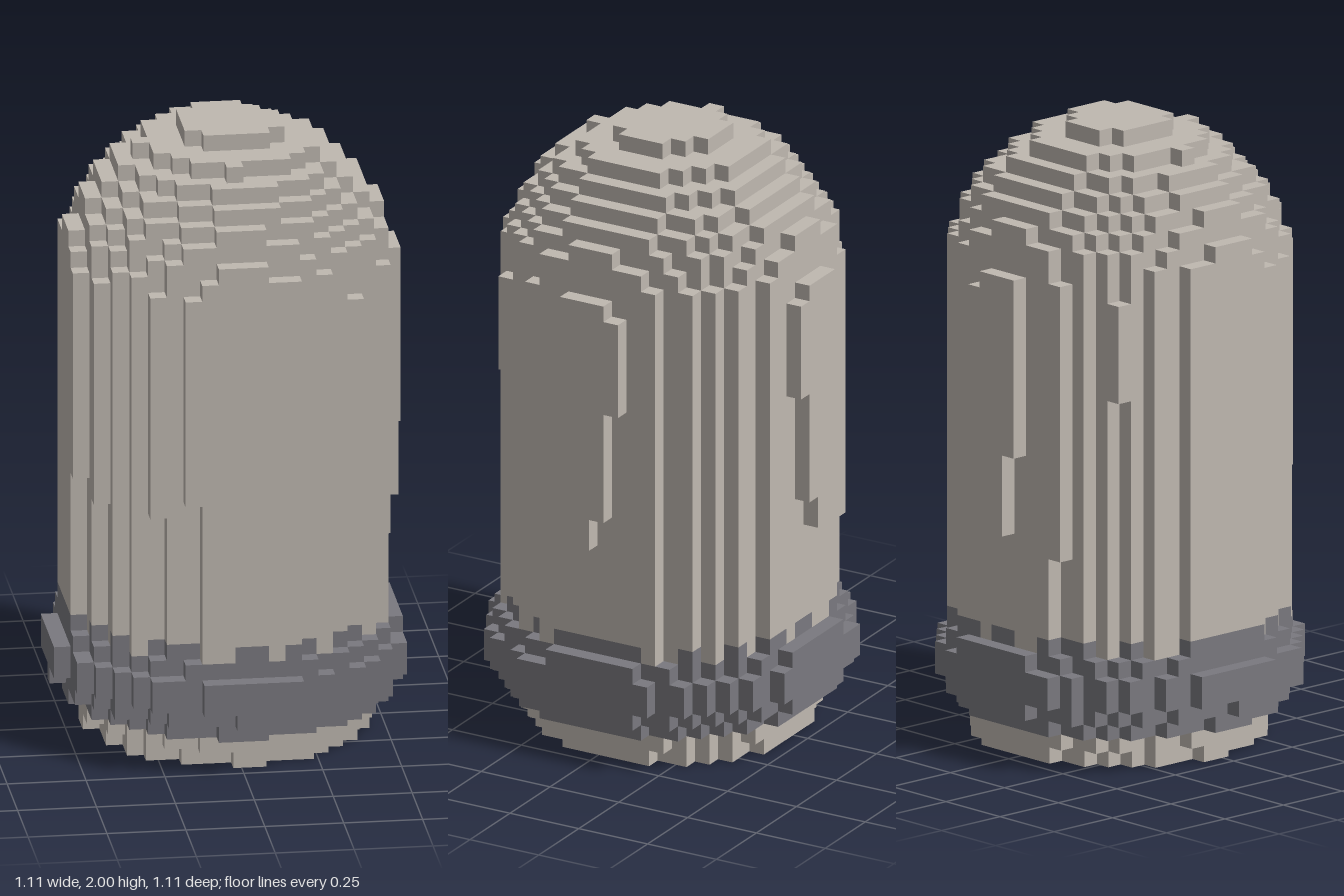
import * as THREE from 'three';

const U = 2 / 38;          // block size
const LAYERS = 38;
const C = 0.25;            // the round axis sits slightly off the block grid

// Squared radius (in blocks) of every layer: [first layer, r squared], held until the next entry
const PROFILE = [
  [0, 69], [1, 75],                                               // foot
  [2, 88], [3, 105.3], [4, 114], [6, 103],                        // band
  [7, 94], [13, 94.8], [14, 95.3], [16, 95.8], [17, 96.3],        // wall, bulging gently
  [19, 97.4], [23, 98.6], [29, 97.2],
  [30, 94], [31, 87.8], [32, 79], [33, 70], [34, 56], [35, 43], [36, 27.7], [37, 9.5] // dome
];
const radius2 = [];
for (let j = 0, p = 0; j < LAYERS; j++) {
  if (p + 1 < PROFILE.length && PROFILE[p + 1][0] === j) p++;
  radius2.push(PROFILE[p][1]);
}

const filled = (i, j, k) =>
  j >= 0 && j < LAYERS && (i - C) ** 2 + (k + C) ** 2 < radius2[j];

// Ragged upper edge of the band, by column along the front/back and along the sides
const RAGGED_X = new Set([-8, -5, -4, -3, 0, 1, 3, 4, 6, 7]);
const RAGGED_Z = new Set([7, 6, 4, 2, 1, 0, -1, -2, -3, -6, -8]);

function partOf(i, j, k) {
  if (j >= 2 && j <= 6) return 'band';
  if (j === 7) {
    const ragged = Math.abs(k) > Math.abs(i) ? RAGGED_X.has(i) : RAGGED_Z.has(k);
    return ragged ? 'band' : 'body';
  }
  if (j === 0 && (i + 2.2) ** 2 + (k + 1) ** 2 < 15) return 'basePatch';
  return 'body';
}

// Adds the face of a block that looks along one axis
function addFace(positions, cell, axis, sign) {
  const u = (axis + 1) % 3, v = (axis + 2) % 3;
  const corners = [[-0.5, -0.5], [0.5, -0.5], [0.5, 0.5], [-0.5, 0.5]];
  if (sign < 0) corners.reverse();
  for (const n of [0, 1, 2, 0, 2, 3]) {
    const p = [...cell];
    p[axis] += sign * 0.5;
    p[u] += corners[n][0];
    p[v] += corners[n][1];
    positions.push(p[0] * U, (p[1] + 0.5) * U, p[2] * U);
  }
}

export function createModel() {
  const stone = new THREE.MeshStandardMaterial({ color: 0xbfb8b0 });
  stone.name = 'pale stone';
  const slate = new THREE.MeshStandardMaterial({ color: 0x7a797f });
  slate.name = 'slate grey';
  const materials = { body: stone, band: slate, basePatch: slate };
  const faces = { body: [], band: [], basePatch: [] };

  // Keep only the outer faces of the blocks
  for (let j = 0; j < LAYERS; j++)
    for (let i = -11; i <= 11; i++)
      for (let k = -11; k <= 11; k++) {
        if (!filled(i, j, k)) continue;
        for (let axis = 0; axis < 3; axis++)
          for (const sign of [-1, 1]) {
            const next = [i, j, k];
            next[axis] += sign;
            if (!filled(...next)) addFace(faces[partOf(i, j, k)], [i, j, k], axis, sign);
          }
      }

  const model = new THREE.Group();
  model.name = 'blockCapsule';
  for (const part of Object.keys(faces)) {
    const geometry = new THREE.BufferGeometry();
    geometry.setAttribute('position', new THREE.Float32BufferAttribute(faces[part], 3));
    geometry.computeVertexNormals();
    const mesh = new THREE.Mesh(geometry, materials[part]);
    mesh.name = part;
    model.add(mesh);
  }
  return model;
}
